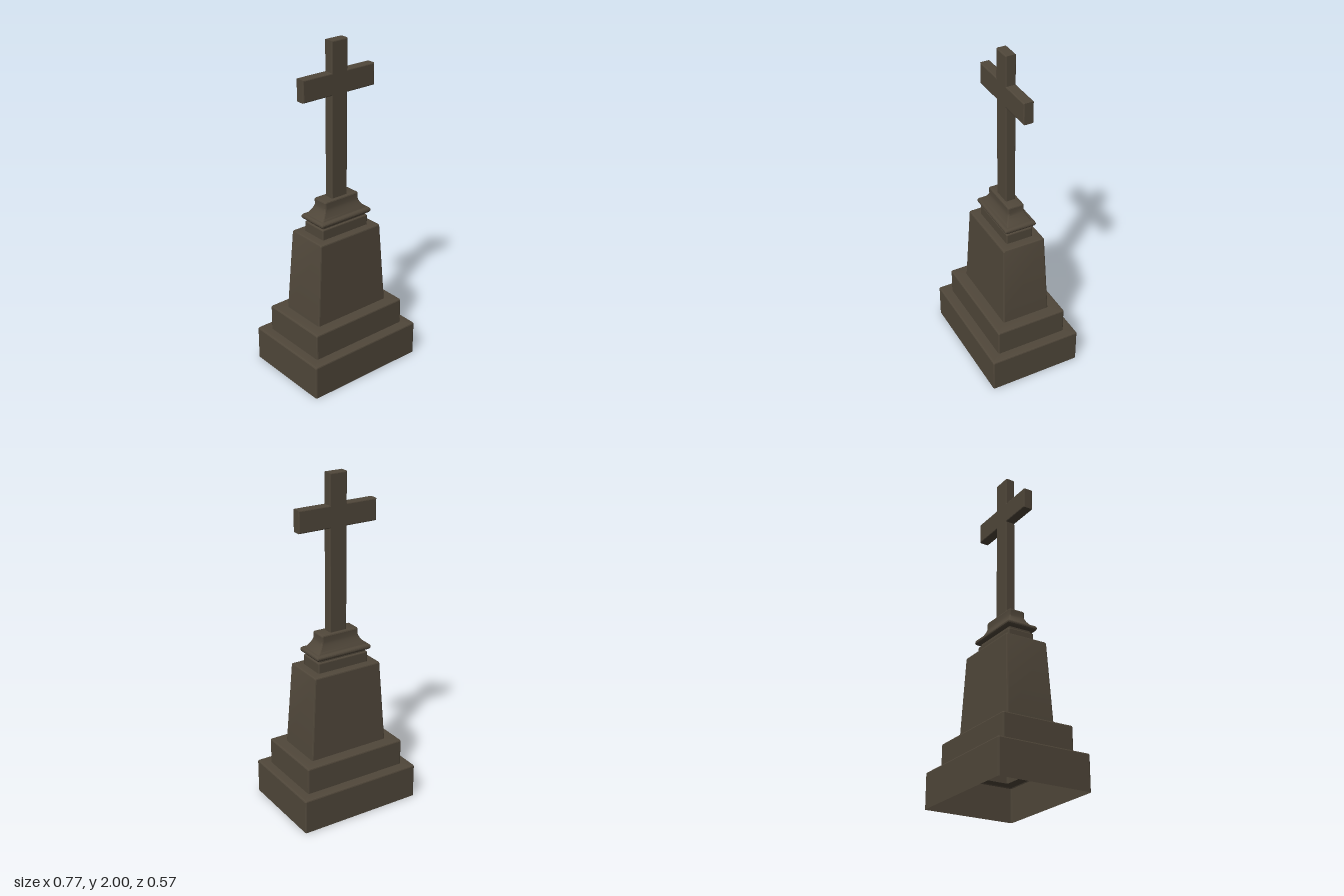
import * as THREE from 'three';
import { toCreasedNormals } from 'three/addons/utils/BufferGeometryUtils.js';

const stone = new THREE.MeshStandardMaterial({ color: 0x50473a, side: THREE.DoubleSide });
stone.name = 'dark stone';
const CREASE = 0.35;

// Rectangle outline with softened corners, counter-clockwise seen from above
function ring([hx, hz, y], r = 0.008) {
  const points = [];
  const corners = [[1, 1], [1, -1], [-1, -1], [-1, 1]];
  corners.forEach(([sx, sz], i) => {
    for (let k = 0; k <= 2; k++) {
      const a = Math.PI / 2 - (i + k / 2) * Math.PI / 2;
      points.push([sx * (hx - r) + r * Math.cos(a), y, sz * (hz - r) + r * Math.sin(a)]);
    }
  });
  return points;
}

// Open shell through stacked rectangular sections [halfX, halfZ, y]
function loft(sections, closeTop = false) {
  const rings = sections.map((s) => ring(s));
  const pos = [];
  for (let j = 0; j < rings.length - 1; j++) {
    const a = rings[j], b = rings[j + 1], n = a.length;
    for (let i = 0; i < n; i++) {
      const k = (i + 1) % n;
      pos.push(...a[i], ...a[k], ...b[k], ...a[i], ...b[k], ...b[i]);
    }
  }
  if (closeTop) {
    const top = rings[rings.length - 1];
    const y = sections[sections.length - 1][2];
    top.forEach((p, i) => pos.push(...p, ...top[(i + 1) % top.length], 0, y, 0));
  }
  const geometry = new THREE.BufferGeometry();
  geometry.setAttribute('position', new THREE.Float32BufferAttribute(pos, 3));
  return toCreasedNormals(geometry, CREASE);
}

// Softened upper edge of a tier, ending flat at height y
const softEdge = (hx, hz, y, r) => [0, 1, 2].map((k) => {
  const a = k * Math.PI / 4;
  return [hx - r * (1 - Math.cos(a)), hz - r * (1 - Math.cos(a)), y - r * (1 - Math.sin(a))];
});

export function createModel() {
  const model = new THREE.Group();
  model.name = 'stoneCrossMonument';
  const add = (name, geometry) => {
    const mesh = new THREE.Mesh(geometry, stone);
    mesh.name = name;
    model.add(mesh);
    return mesh;
  };

  // Hollow pedestal: each tier ends in the ledge that meets the next
  add('lowerStep', loft([[0.383, 0.283, 0], ...softEdge(0.383, 0.283, 0.21, 0.008), [0.325, 0.22, 0.21]]));
  add('upperStep', loft([[0.325, 0.22, 0.21], ...softEdge(0.325, 0.22, 0.37, 0.008), [0.254, 0.149, 0.37]]));
  add('taperedShaft', loft([[0.254, 0.149, 0.37], ...softEdge(0.22, 0.132, 0.876, 0.008), [0.166, 0.083, 0.876]]));
  add('neck', loft([[0.166, 0.083, 0.876], ...softEdge(0.166, 0.083, 0.938, 0.006), [0.155, 0.072, 0.938], [0.155, 0.072, 0.952]]));

  // Rounded moulding
  const bead = [];
  for (let k = 0; k <= 8; k++) {
    const a = -Math.PI / 2 + k * Math.PI / 8;
    bead.push([0.167 + 0.015 * Math.cos(a), 0.083 + 0.015 * Math.cos(a), 0.969 + 0.016 * Math.sin(a)]);
  }
  add('moulding', loft([[0.155, 0.072, 0.952], ...bead, [0.162, 0.077, 0.985]]));

  // Concave shoulder sweeping up to the cap
  const shoulder = [];
  for (let k = 0; k <= 5; k++) {
    const t = k / 5, bulge = (1 - t) ** 1.4;
    shoulder.push([0.122 + 0.04 * bulge, 0.05 + 0.027 * bulge, 0.985 + 0.06 * t]);
  }
  add('cap', loft([...shoulder, ...softEdge(0.122, 0.05, 1.085, 0.008)], true));

  // Cross, with softened edges
  const w = 0.055, arm = 0.25, low = 1.695, high = 1.823;
  const outline = new THREE.Shape([
    [-w, 1.075], [w, 1.075], [w, low], [arm, low], [arm, high], [w, high],
    [w, 2], [-w, 2], [-w, high], [-arm, high], [-arm, low], [-w, low],
  ].map(([x, y]) => new THREE.Vector2(x, y)));
  const bevel = 0.006;
  const cross = new THREE.ExtrudeGeometry(outline, {
    depth: 0.06 - 2 * bevel, bevelEnabled: true, bevelThickness: bevel,
    bevelSize: bevel, bevelOffset: -bevel, bevelSegments: 2,
  });
  cross.translate(0, 0, -0.03 + bevel);
  add('cross', toCreasedNormals(cross, CREASE));

  return model;
}
